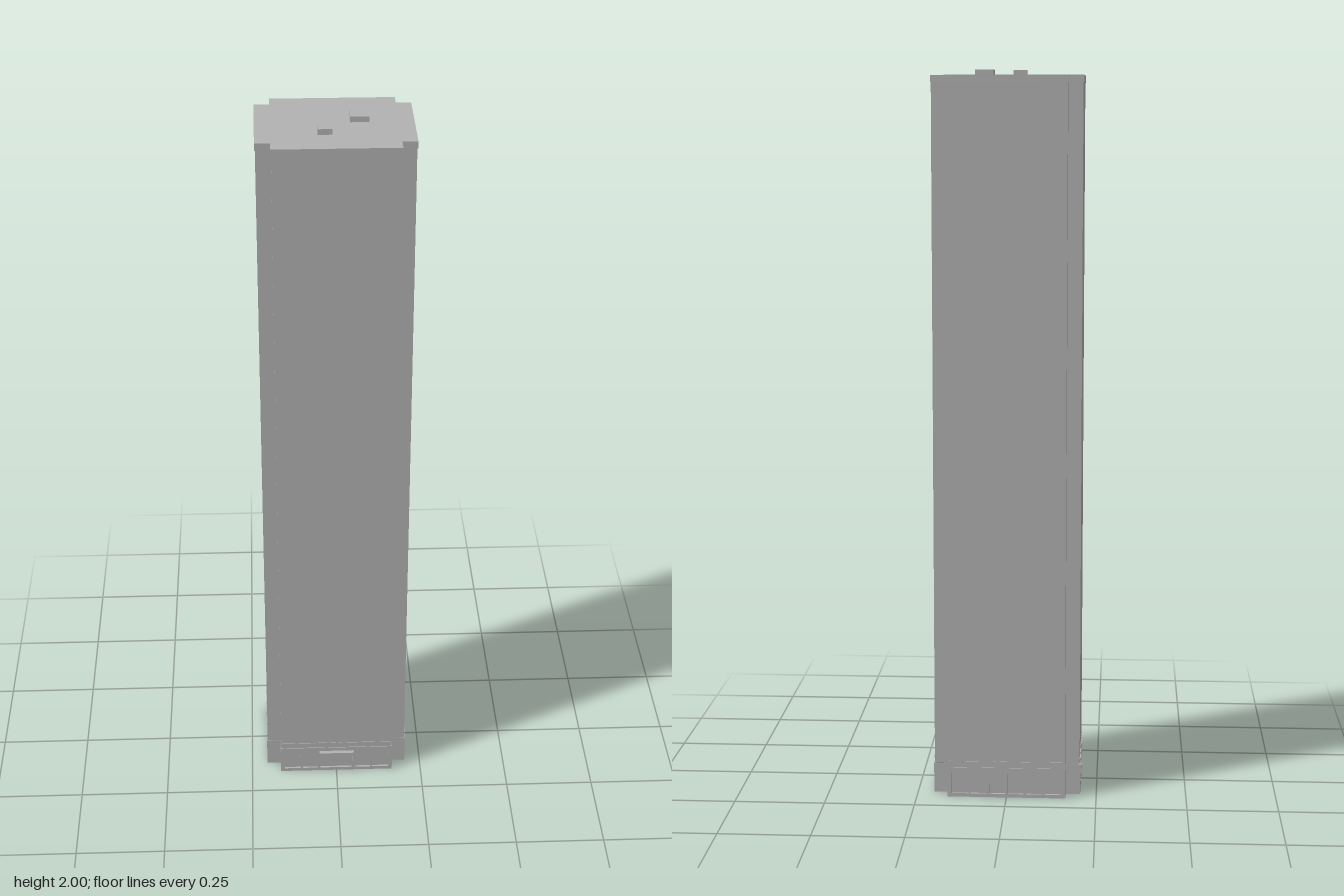
import * as THREE from 'three';

// Half sizes of the cross-shaped plan: outer faces and notch faces
const OX = 0.205, NX = 0.165, OZ = 0.1705, NZ = 0.131, CZ = -0.0055;
const BASE = 0.085, EAVE = 1.966, ROOF = 1.985;

// Plan corners, moved inward by d
function corners(d) {
  const ox = OX - d, nx = NX - d, oz = OZ - d, nz = NZ - d;
  return [[-nx, oz], [nx, oz], [nx, nz], [ox, nz], [ox, -nz], [nx, -nz],
    [nx, -oz], [-nx, -oz], [-nx, -nz], [-ox, -nz], [-ox, nz], [-nx, nz]];
}

function planShape(d) {
  return new THREE.Shape(corners(d).map(([x, z]) => new THREE.Vector2(x, -z)));
}

// Each wall segment with its middle, width and outward direction
function edges(d) {
  const c = corners(d);
  return c.map(([x, z], i) => {
    const [x2, z2] = c[(i + 1) % c.length];
    const dx = x2 - x, dz = z2 - z;
    return { x: (x + x2) / 2, z: (z + z2) / 2, w: Math.hypot(dx, dz), angle: Math.atan2(-dz, dx) };
  });
}

export function createModel() {
  const model = new THREE.Group();
  model.name = 'tower';
  const stone = new THREE.MeshStandardMaterial({ color: 0xb2b2b2, side: THREE.DoubleSide });
  stone.name = 'grey stone';

  function add(name, geometry, parent = model) {
    const mesh = new THREE.Mesh(geometry, stone);
    mesh.name = name;
    parent.add(mesh);
    return mesh;
  }

  const plan = new THREE.Group();
  plan.name = 'building';
  plan.position.z = CZ;
  model.add(plan);

  function wall(name, e, y0, y1) {
    const g = new THREE.PlaneGeometry(e.w, y1 - y0);
    g.rotateY(e.angle);
    g.translate(e.x, (y0 + y1) / 2, e.z);
    return add(name, g, plan);
  }

  // Hollow shaft
  edges(0.002).forEach(e => wall('shaftWall', e, BASE, EAVE));

  // Roof slab with a slight overhang
  const slab = new THREE.ExtrudeGeometry(planShape(0), { depth: ROOF - EAVE, bevelEnabled: false });
  slab.rotateX(-Math.PI / 2);
  slab.translate(0, EAVE, 0);
  add('roofSlab', slab, plan);

  // Ground floor bays as [centre, width]
  const frontBays = [[-0.13, 0.048], [-0.078, 0.044], [0, 0.094], [0.078, 0.044], [0.13, 0.048]];
  const backBays = [[-0.13, 0.048], [-0.078, 0.044], [-0.026, 0.044], [0.026, 0.044], [0.078, 0.044], [0.13, 0.048]];
  const sideBays = [-2, -1, 0, 1, 2].map(i => [i * 0.048, 0.04]);
  const facades = { 0: frontBays, 3: sideBays, 6: backBays, 9: sideBays };
  const depth = 0.006;

  const inner = edges(depth);
  edges(0).forEach((e, i) => {
    const bays = facades[i];
    if (!bays) {
      wall('cornerBaseWall', e, 0, BASE);
      return;
    }
    // Pierced facade with recessed panes behind
    const h = e.w / 2;
    const shape = new THREE.Shape([[-h, 0], [h, 0], [h, BASE], [-h, BASE]].map(p => new THREE.Vector2(...p)));
    for (const [c, w] of bays) {
      const l = c - w / 2, r = c + w / 2, b = 0.01, t = 0.072, k = 0.004;
      shape.holes.push(new THREE.Path([[l, b], [l, t - k], [l + k, t], [r - k, t], [r, t - k], [r, b]]
        .map(p => new THREE.Vector2(...p))));
    }
    const g = new THREE.ExtrudeGeometry(shape, { depth, bevelEnabled: false });
    g.translate(0, 0, -depth);
    g.rotateY(e.angle);
    g.translate(e.x, 0, e.z);
    add('groundFloorFacade', g, plan);
    wall('recessedPanes', inner[i], 0.005, 0.08);

    // Row of short ledge blocks above the bays
    const n = Math.round(e.w / 0.048);
    for (let j = 0; j < n; j++) {
      const block = new THREE.BoxGeometry(e.w / n - 0.01, 0.006, 0.003);
      block.translate((j + 0.5 - n / 2) * e.w / n, 0.1, -0.0015);
      block.rotateY(e.angle);
      block.translate(e.x, 0, e.z);
      add('ledgeBlock', block, plan);
    }
  });

  // Entrance canopy
  add('entranceCanopy', new THREE.BoxGeometry(0.102, 0.01, 0.013)).position.set(0, 0.068, 0.17);

  // Rooftop plant boxes
  add('largeRoofBox', new THREE.BoxGeometry(0.05, 0.015, 0.064)).position.set(0.065, 1.9925, -0.038);
  add('smallRoofBox', new THREE.BoxGeometry(0.038, 0.015, 0.027)).position.set(-0.026, 1.9925, 0.061);

  return model;
}
